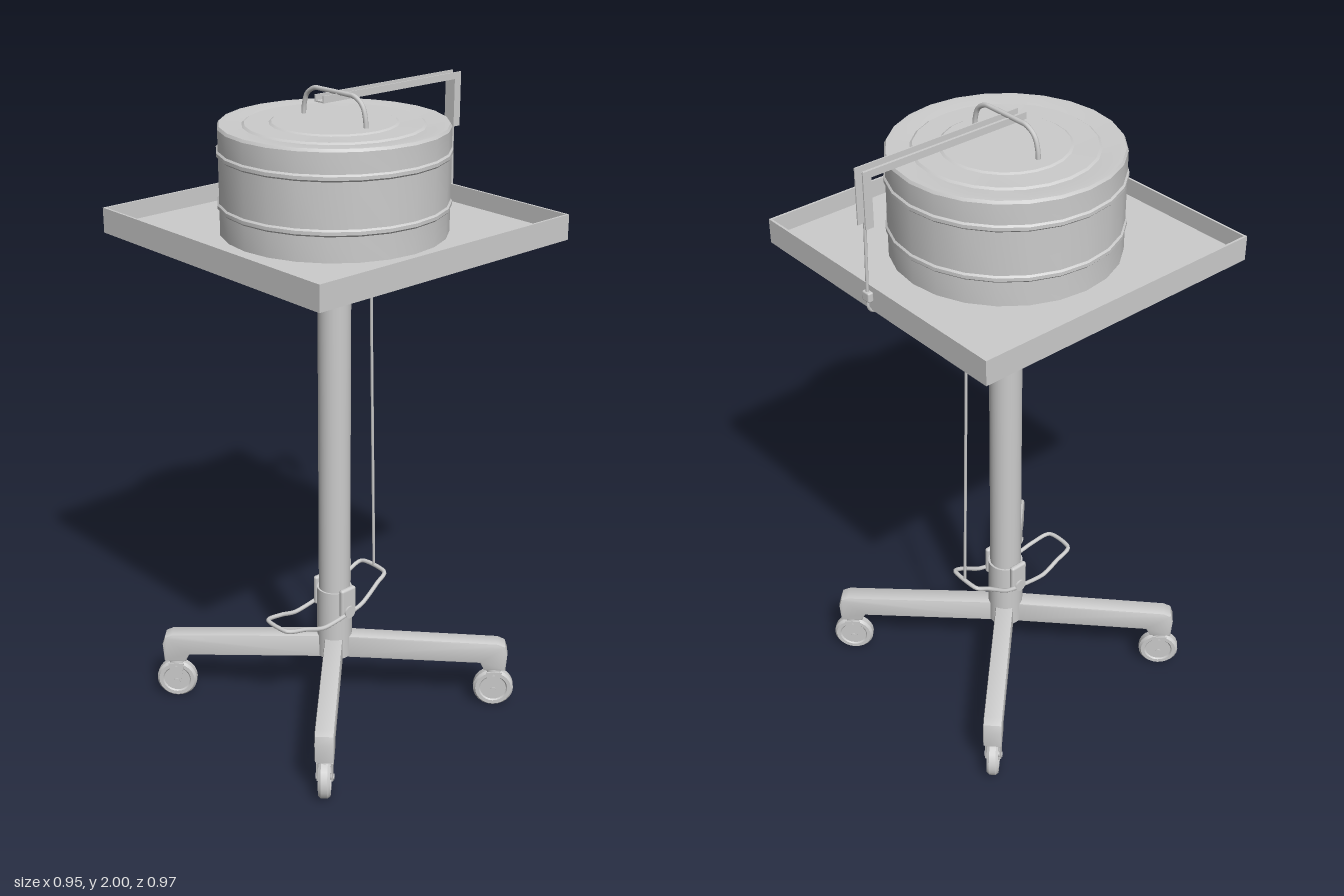
import * as THREE from 'three';
import { RoundedBoxGeometry } from 'three/addons/geometries/RoundedBoxGeometry.js';
import { toCreasedNormals } from 'three/addons/utils/BufferGeometryUtils.js';

const grey = new THREE.MeshStandardMaterial({ color: 0xcccccc });
const CZ = 0.007; // centre line of column, drum and base

function add(parent, name, geometry, x = 0, y = 0, z = 0) {
  const mesh = new THREE.Mesh(geometry, grey);
  mesh.name = name;
  mesh.position.set(x, y, z);
  parent.add(mesh);
  return mesh;
}

const box = (w, h, d) => new THREE.BoxGeometry(w, h, d);

function shapeOf(points) {
  return new THREE.Shape(points.map(([x, y]) => new THREE.Vector2(x, y)));
}

function tube(points, radius, closed = false, tension = 0.2, segments = 80) {
  const curve = new THREE.CatmullRomCurve3(
    points.map((p) => new THREE.Vector3(...p)), closed, 'catmullrom', tension);
  return new THREE.TubeGeometry(curve, segments, radius, 8, closed);
}

// Swivel castor rolling along local x, hanging below y = 0.145
function makeCaster() {
  const caster = new THREE.Group();
  caster.name = 'caster';
  add(caster, 'casterStem', new THREE.CylinderGeometry(0.022, 0.026, 0.03, 16), 0, 0.13, 0);
  const tyre = new THREE.LatheGeometry([
    [0, -0.014], [0.042, -0.014], [0.046, -0.018], [0.058, -0.018], [0.065, -0.01],
    [0.065, 0.01], [0.058, 0.018], [0.046, 0.018], [0.042, 0.014], [0, 0.014],
  ].map(([r, y]) => new THREE.Vector2(r, y)), 24);
  add(caster, 'wheel', toCreasedNormals(tyre.rotateX(Math.PI / 2), 0.6), 0, 0.065, 0);
  const cheek = shapeOf([[-0.026, 0.128], [-0.012, 0.055], [0.012, 0.055], [0.026, 0.128]]);
  for (const s of [-1, 1]) {
    const plate = new THREE.ExtrudeGeometry(cheek, { depth: 0.005, bevelEnabled: false });
    add(caster, 'forkCheek', plate, 0, 0, s * 0.0225 - 0.0025);
  }
  const axle = new THREE.CylinderGeometry(0.009, 0.009, 0.056, 12).rotateX(Math.PI / 2);
  add(caster, 'axle', axle, 0, 0.065, 0);
  return caster;
}

function makeBase() {
  const base = new THREE.Group();
  base.name = 'base';
  base.position.z = CZ;
  // Side profile of a leg: radial distance, height
  const profile = shapeOf([
    [0, 0.18], [0.475, 0.17], [0.488, 0.144], [0.548, 0.144],
    [0.552, 0.2], [0.545, 0.222], [0.525, 0.231], [0, 0.247],
  ]);
  const legGeometry = toCreasedNormals(new THREE.ExtrudeGeometry(profile, {
    depth: 0.046, bevelSize: 0.006, bevelThickness: 0.006, bevelSegments: 2,
  }).translate(0, 0, -0.023), 0.6);
  for (let i = 0; i < 4; i++) {
    const arm = new THREE.Group();
    arm.name = 'leg';
    arm.rotation.y = Math.PI / 4 + (i * Math.PI) / 2;
    add(arm, 'legBeam', legGeometry);
    const caster = makeCaster();
    caster.position.x = 0.517;
    arm.add(caster);
    base.add(arm);
  }
  return base;
}

function makeTray() {
  const tray = new THREE.Group();
  tray.name = 'tray';
  tray.position.set(0, 1.575, CZ);
  const size = 0.95, wall = 0.007, height = 0.075;
  add(tray, 'trayFloor', box(size, 0.022, size), 0, 0.011, 0);
  for (const s of [-1, 1]) {
    const offset = s * (size - wall) / 2;
    add(tray, 'traySide', box(wall, height, size), offset, height / 2, 0);
    add(tray, 'trayEnd', box(size - 2 * wall, height, wall), 0, height / 2, offset);
  }
  return tray;
}

function makeDrum() {
  const drum = new THREE.Group();
  drum.name = 'drum';
  drum.position.z = CZ;
  // Body with two raised ribs and a stepped lid
  const points = [[0, 1.597], [0.332, 1.597]];
  for (const y of [1.68, 1.83]) {
    points.push([0.332, y - 0.01], [0.337, y - 0.005], [0.337, y + 0.005], [0.332, y + 0.01]);
  }
  points.push([0.332, 1.9], [0.327, 1.908], [0.31, 1.908], [0.262, 1.903],
    [0.255, 1.908], [0.185, 1.908], [0.178, 1.912], [0, 1.912]);
  const body = new THREE.LatheGeometry(points.map(([r, y]) => new THREE.Vector2(r, y)), 24);
  add(drum, 'drumBody', toCreasedNormals(body, 0.5));
  // Lid handle
  add(drum, 'lidHandle', tube([
    [-0.132, 1.9, 0], [-0.128, 1.94, 0], [-0.115, 1.972, 0], [-0.085, 1.991, 0], [-0.05, 1.993, 0],
    [0.05, 1.993, 0], [0.085, 1.991, 0], [0.115, 1.972, 0], [0.128, 1.94, 0], [0.132, 1.9, 0],
  ], 0.007, false, 0.5));
  return drum;
}

// Angled channel that hooks under the lid handle
function makeLiftArm() {
  const arm = new THREE.Group();
  arm.name = 'liftArm';
  const flange = shapeOf([
    [-0.063, 1.97], [0.457, 1.97], [0.457, 1.828], [0.483, 1.828], [0.483, 1.99], [-0.063, 1.99],
  ]);
  for (const s of [-1, 1]) {
    const side = new THREE.ExtrudeGeometry(flange, { depth: 0.004, bevelEnabled: false });
    side.translate(0, 0, -0.002).rotateY(Math.PI / 2);
    add(arm, 'armFlange', side, s * 0.017, 0, 0);
  }
  add(arm, 'armWeb', box(0.034, 0.004, 0.522), 0, 1.972, -0.198);
  add(arm, 'dropWeb', box(0.034, 0.146, 0.004), 0, 1.901, -0.459);
  return arm;
}

function makePedal() {
  const pedal = new THREE.Group();
  pedal.name = 'footPedal';
  // Half of the bent loop, rear to front, mirrored for the other half
  const half = [
    [0.05, 0.43, -0.163], [0.064, 0.41, -0.12], [0.07, 0.365, -0.05], [0.07, 0.35, 0.01],
    [0.068, 0.337, 0.11], [0.06, 0.355, 0.18], [0.045, 0.367, 0.245],
  ];
  const other = half.map(([x, y, z]) => [-x, y, z]).reverse();
  add(pedal, 'pedalLoop', tube([...half, ...other], 0.007, true, 0.4, 120));
  for (const s of [-1, 1]) {
    add(pedal, 'pivotPlate', new RoundedBoxGeometry(0.018, 0.1, 0.06, 3, 0.008), s * 0.062, 0.388, CZ);
    const boss = new THREE.CylinderGeometry(0.021, 0.021, 0.024, 16).rotateZ(Math.PI / 2);
    add(pedal, 'pivotBoss', boss, s * 0.065, 0.356, CZ);
  }
  return pedal;
}

export function createModel() {
  const model = new THREE.Group();
  model.name = 'pedalBinStand';
  model.add(makeBase(), makeTray(), makeDrum(), makeLiftArm(), makePedal());

  // Column and lower collar
  add(model, 'column', new THREE.CylinderGeometry(0.05, 0.05, 1.18, 32), 0, 0.99, CZ);
  add(model, 'collar', new THREE.CylinderGeometry(0.056, 0.056, 0.24, 32), 0, 0.3, CZ);

  // Pull cable from the lift arm, under the tray and down to the pedal
  add(model, 'pullCable', tube([
    [0, 1.84, -0.472], [0, 1.63, -0.477], [0, 1.585, -0.477], [0, 1.567, -0.46],
    [0, 1.566, -0.3], [0, 1.569, -0.155], [0, 1.55, -0.14], [0, 1.2, -0.146], [0, 0.43, -0.165],
  ], 0.0045, false, 0.1, 160));
  add(model, 'cableGuide', new RoundedBoxGeometry(0.03, 0.03, 0.018, 2, 0.005), 0, 1.62, -0.476);
  add(model, 'cableGuideUnder', box(0.02, 0.012, 0.03), 0, 1.57, -0.155);
  return model;
}
